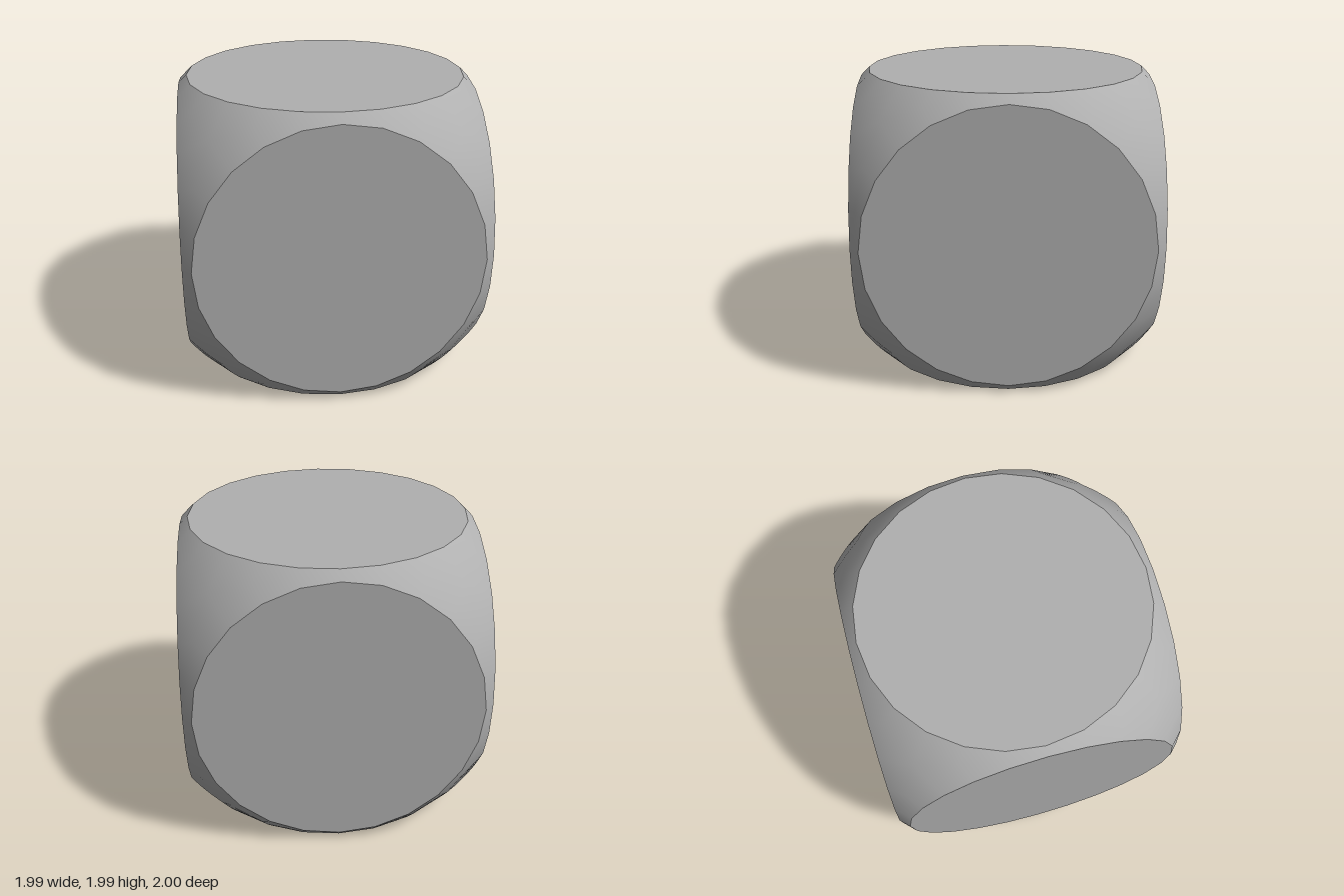
import * as THREE from 'three';

const HALF = new THREE.Vector3(0.997, 0.994, 1); // distance of each flat from the centre
const R = 1.3697;                                // radius of the rounded body
const SIDES = 24, RINGS = 6;

// Radius of the flat disc cut into the ball at distance d
const cutRadius = (d) => Math.sqrt(R * R - d * d);

// Rounded skin around one flat (facing +z): from the disc's rim out to the
// square border shared with the four neighbouring pieces
function skinGeometry(d) {
  const r = cutRadius(d), pos = [], nor = [], idx = [];
  for (let i = 0; i <= SIDES; i++) {
    const a = (i / SIDES) * Math.PI * 2, c = Math.cos(a), s = Math.sin(a);
    const m = Math.max(Math.abs(c), Math.abs(s));
    const rim = new THREE.Vector3(r * c, r * s, d);
    const border = new THREE.Vector3(c / m, s / m, 1).setLength(R);
    for (let j = 0; j <= RINGS; j++) {
      const p = rim.clone().lerp(border, j / RINGS).setLength(R);
      pos.push(p.x, p.y, p.z);
      nor.push(p.x / R, p.y / R, p.z / R);
      if (i < SIDES && j < RINGS) {
        const k = i * (RINGS + 1) + j, n = k + RINGS + 1;
        idx.push(k, k + 1, n + 1, k, n + 1, n);
      }
    }
  }
  const g = new THREE.BufferGeometry();
  g.setAttribute('position', new THREE.Float32BufferAttribute(pos, 3));
  g.setAttribute('normal', new THREE.Float32BufferAttribute(nor, 3));
  g.setIndex(idx);
  return g;
}

export function createModel() {
  const model = new THREE.Group();
  model.name = 'roundedCube';
  const grey = new THREE.MeshStandardMaterial({ color: 0xb0b0b0 });
  grey.name = 'grey';

  // Six sides, each a flat disc with its rounded surround
  const sides = [
    ['front', HALF.z, 0, 0], ['back', HALF.z, 0, Math.PI],
    ['left', HALF.x, 0, Math.PI / 2], ['right', HALF.x, 0, -Math.PI / 2],
    ['top', HALF.y, -Math.PI / 2, 0], ['bottom', HALF.y, Math.PI / 2, 0],
  ];
  for (const [name, d, rx, ry] of sides) {
    const side = new THREE.Group();
    side.name = name + 'Side';
    const disc = new THREE.Mesh(new THREE.CircleGeometry(cutRadius(d), SIDES), grey);
    disc.name = name + 'Flat';
    disc.position.z = d;
    const skin = new THREE.Mesh(skinGeometry(d), grey);
    skin.name = name + 'RoundedSkin';
    side.add(disc, skin);
    side.rotation.set(rx, ry, 0);
    side.position.y = HALF.y;
    model.add(side);
  }
  return model;
}
